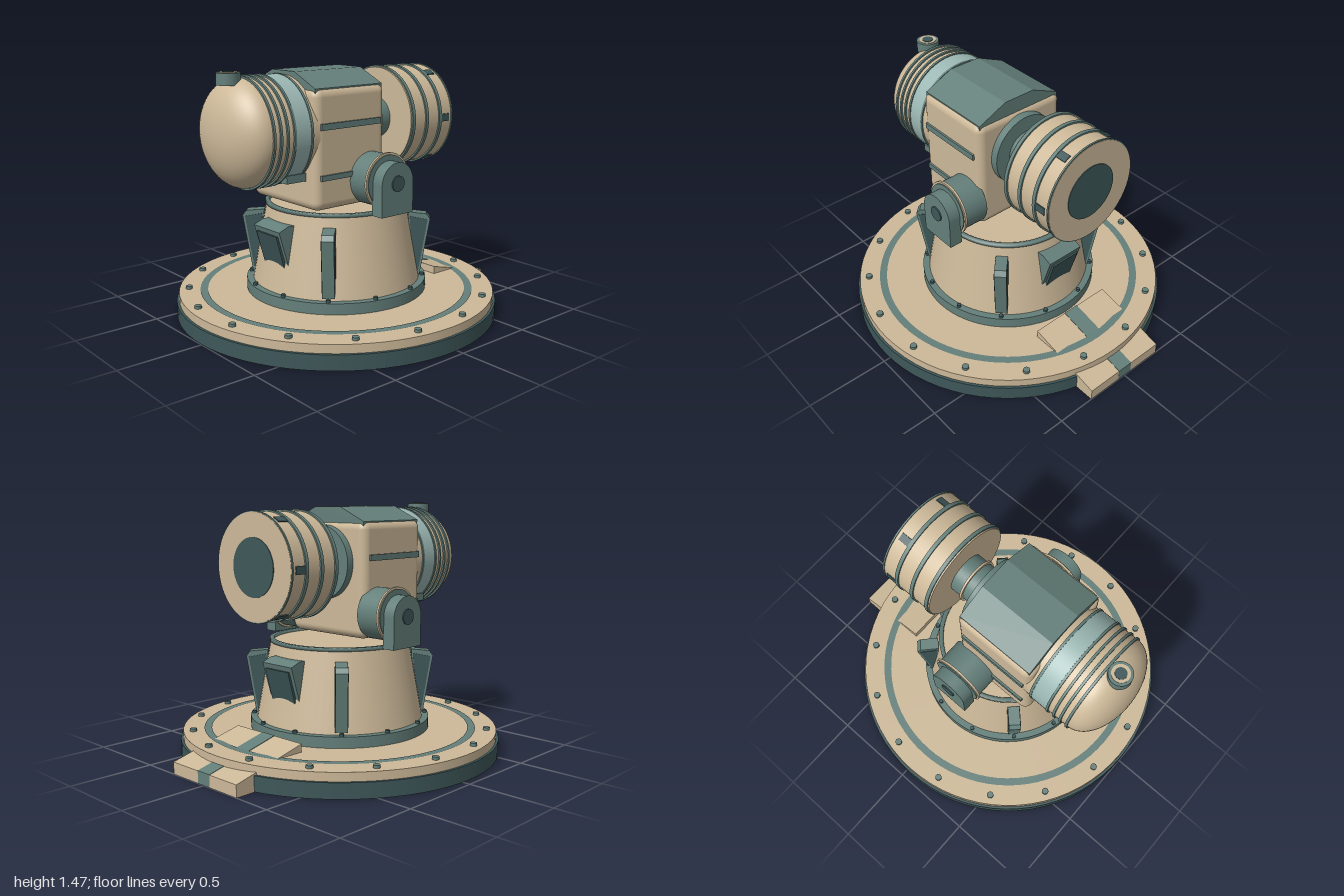
import * as THREE from 'three';
import { RoundedBoxGeometry } from 'three/addons/geometries/RoundedBoxGeometry.js';

const paint = (name, color) => Object.assign(new THREE.MeshStandardMaterial({ color }), { name });

export function createModel() {
  const tan = paint('sand', 0xcdb999);
  const teal = paint('teal', 0x647f7a);
  const pale = paint('pale teal', 0x9cb8b4);
  const dark = paint('dark teal', 0x3e5759);

  const model = new THREE.Group();
  model.name = 'turret';
  const CX = -0.04; // axis of the base and column
  const AY = 1.135; // height of the barrel axis

  function add(name, geo, mat, x = 0, y = 0, z = 0, parent = model) {
    const mesh = new THREE.Mesh(geo, mat);
    mesh.name = name;
    mesh.position.set(x, y, z);
    parent.add(mesh);
    return mesh;
  }
  function group(name, x, y, z, rotY = 0) {
    const g = new THREE.Group();
    g.name = name;
    g.position.set(x, y, z);
    g.rotation.y = rotY;
    model.add(g);
    return g;
  }
  const box = (w, h, d) => new THREE.BoxGeometry(w, h, d);
  // upright disc between two heights
  const disc = (name, r0, r1, y0, y1, mat, parent = base) =>
    add(name, new THREE.CylinderGeometry(r1, r0, y1 - y0, 72), mat, 0, (y0 + y1) / 2, 0, parent);
  // cylinder lying along x
  const barrel = (name, r, x0, x1, mat) =>
    add(name, new THREE.CylinderGeometry(r, r, x1 - x0, 56).rotateZ(-Math.PI / 2), mat, (x0 + x1) / 2, AY, 0);
  // outline in x and y, given thickness along z, centred
  function slab(points, depth) {
    const shape = new THREE.Shape(points.map(p => new THREE.Vector2(...p)));
    return new THREE.ExtrudeGeometry(shape, { depth, bevelEnabled: false }).translate(0, 0, -depth / 2);
  }

  // Round base plate
  const base = group('base', CX, 0, 0);
  disc('baseDisc', 0.96, 0.96, 0.002, 0.09, dark);
  disc('deck', 0.945, 0.945, 0.09, 0.14, tan);
  const ring = new THREE.RingGeometry(0.775, 0.82, 80).rotateX(-Math.PI / 2);
  add('deckRing', ring, teal, 0, 0.143, 0, base);
  for (let i = 0; i < 16; i++) {
    const a = (i + 0.5) * Math.PI / 8;
    add('deckBolt', new THREE.CylinderGeometry(0.02, 0.02, 0.02, 12), teal,
      0.887 * Math.cos(a), 0.147, 0.887 * Math.sin(a), base);
  }

  // Sloping entry ramp with a centre stripe
  const ramp = [[0.54, 0], [1, 0], [1, 0.07], [0.54, 0.187]];
  add('ramp', slab(ramp, 0.54), tan);
  add('rampStripe', slab([[0.6, 0.02], [1.001, 0.002], [1.001, 0.072], [0.54, 0.19]], 0.1), teal);

  // Tapered column
  disc('columnCollar', 0.54, 0.54, 0.14, 0.205, teal);
  disc('column', 0.5, 0.415, 0.205, 0.662, tan);
  const rim = new THREE.LatheGeometry([[0.395, 0.66], [0.42, 0.66], [0.42, 0.68], [0.395, 0.68], [0.395, 0.66]]
    .map(p => new THREE.Vector2(...p)), 64);
  add('columnRim', rim, teal, 0, 0, 0, base);
  for (let i = 0; i < 12; i++) {
    const a = (i + 0.5) * Math.PI / 6;
    add('collarBolt', new THREE.CylinderGeometry(0.013, 0.013, 0.02, 8), dark,
      0.52 * Math.cos(a), 0.21, 0.52 * Math.sin(a), base);
  }

  // Wedge braces on the diagonals, with dark side panels
  for (let i = 0; i < 4; i++) {
    const g = group('brace', CX, 0, 0, Math.PI / 4 + i * Math.PI / 2);
    add('braceBody', slab([[0.46, 0.22], [0.505, 0.22], [0.562, 0.565], [0.54, 0.595], [0.43, 0.605]], 0.07), teal, 0, 0, 0, g);
    add('bracePanel', slab([[0.47, 0.245], [0.497, 0.245], [0.547, 0.56], [0.44, 0.58]], 0.076), dark, 0, 0, 0, g);
  }

  // Hooded vents on both sides of the column
  for (const rot of [0, Math.PI]) {
    const g = group('vent', CX, 0, 0, rot);
    add('ventHood', slab([[0.38, 0.36], [0.452, 0.37], [0.513, 0.575], [0.45, 0.6], [0.4, 0.6]], 0.24), teal, 0, 0, 0, g);
    add('ventOpening', slab([[0.4, 0.33], [0.452, 0.33], [0.512, 0.545], [0.45, 0.545]], 0.19), dark, 0.004, 0, 0, g);
  }

  // Body with a faceted roof
  add('body', new RoundedBoxGeometry(0.51, 0.675, 0.6, 4, 0.05), tan, -0.18, 1.04, 0);
  const roof = slab([[-0.28, 1.35], [0.28, 1.35], [0.28, 1.375], [0.1, 1.455], [-0.1, 1.455], [-0.28, 1.375]], 0.48);
  add('roof', roof.rotateY(Math.PI / 2), teal, -0.18, 0, 0);

  for (const s of [1, -1]) {
    // Side rails
    add('upperRail', box(0.43, 0.035, 0.02), teal, -0.185, 1.17, s * 0.302);
    add('lowerRail', box(0.3, 0.03, 0.02), teal, -0.25, 0.89, s * 0.302);
    add('bandClamp', box(0.13, 0.045, 0.08), teal, -0.505, 0.892, s * 0.18);

    // Trunnion: drum, thin ring, bracket and pin
    const g = group('trunnion', CX, 0.85, 0, s > 0 ? 0 : Math.PI);
    const drum = (name, r, z0, z1, mat) =>
      add(name, new THREE.CylinderGeometry(r, r, z1 - z0, 40).rotateX(Math.PI / 2), mat, 0, 0, (z0 + z1) / 2, g);
    drum('trunnionDrum', 0.15, 0.28, 0.452, teal);
    drum('trunnionRing', 0.162, 0.433, 0.446, tan);
    const arch = new THREE.Shape();
    arch.moveTo(-0.118, -0.178);
    arch.lineTo(0.118, -0.178);
    arch.lineTo(0.118, 0);
    arch.absarc(0, 0, 0.118, 0, Math.PI, false);
    arch.closePath();
    add('bracket', new THREE.ExtrudeGeometry(arch, { depth: 0.08, bevelEnabled: false, curveSegments: 20 }), teal, 0, 0, 0.446, g);
    drum('pin', 0.045, 0.5, 0.533, dark);
  }

  // Rear housing with a domed end
  const dome = [];
  for (let i = 0; i <= 16; i++) {
    const a = i / 16 * Math.PI / 2;
    dome.push(new THREE.Vector2(Math.max(0.3 * Math.cos(a), 0), 0.18 * Math.sin(a)));
  }
  add('dome', new THREE.LatheGeometry(dome, 56).rotateZ(Math.PI / 2), tan, -0.71, AY, 0);
  barrel('rearHousing', 0.3, -0.71, -0.4, tan);
  for (const x of [-0.705, -0.662, -0.618, -0.573]) barrel('rearRing', 0.31, x - 0.007, x + 0.007, teal);
  barrel('paleBand', 0.305, -0.565, -0.465, pale);
  barrel('bandEdge', 0.308, -0.465, -0.45, teal);

  // Cap on the dome
  const cap = group('domeCap', -0.778, 0, 0);
  disc('capBody', 0.066, 0.066, 1.4, 1.465, teal, cap);
  disc('capInset', 0.05, 0.05, 1.46, 1.468, tan, cap);
  disc('capCentre', 0.032, 0.032, 1.46, 1.471, dark, cap);

  // Neck
  barrel('neckFlange', 0.215, 0.05, 0.12, teal);
  barrel('neck', 0.122, 0.11, 0.29, teal);
  barrel('neckRing', 0.136, 0.195, 0.208, tan);

  // Front housing with rings, slots and lens
  barrel('frontHousing', 0.3, 0.282, 0.634, tan);
  for (const x of [0.302, 0.412, 0.525]) barrel('frontRing', 0.309, x - 0.011, x + 0.011, teal);
  barrel('endRing', 0.306, 0.622, 0.632, teal);
  barrel('lens', 0.165, 0.62, 0.638, dark);
  for (let i = 0; i < 6; i++) {
    const slot = add('slot', box(0.075, 0.045, 0.02).translate(0, 0, 0.295), dark, 0.565, AY, 0);
    slot.rotation.x = i * Math.PI / 3;
  }
  return model;
}
